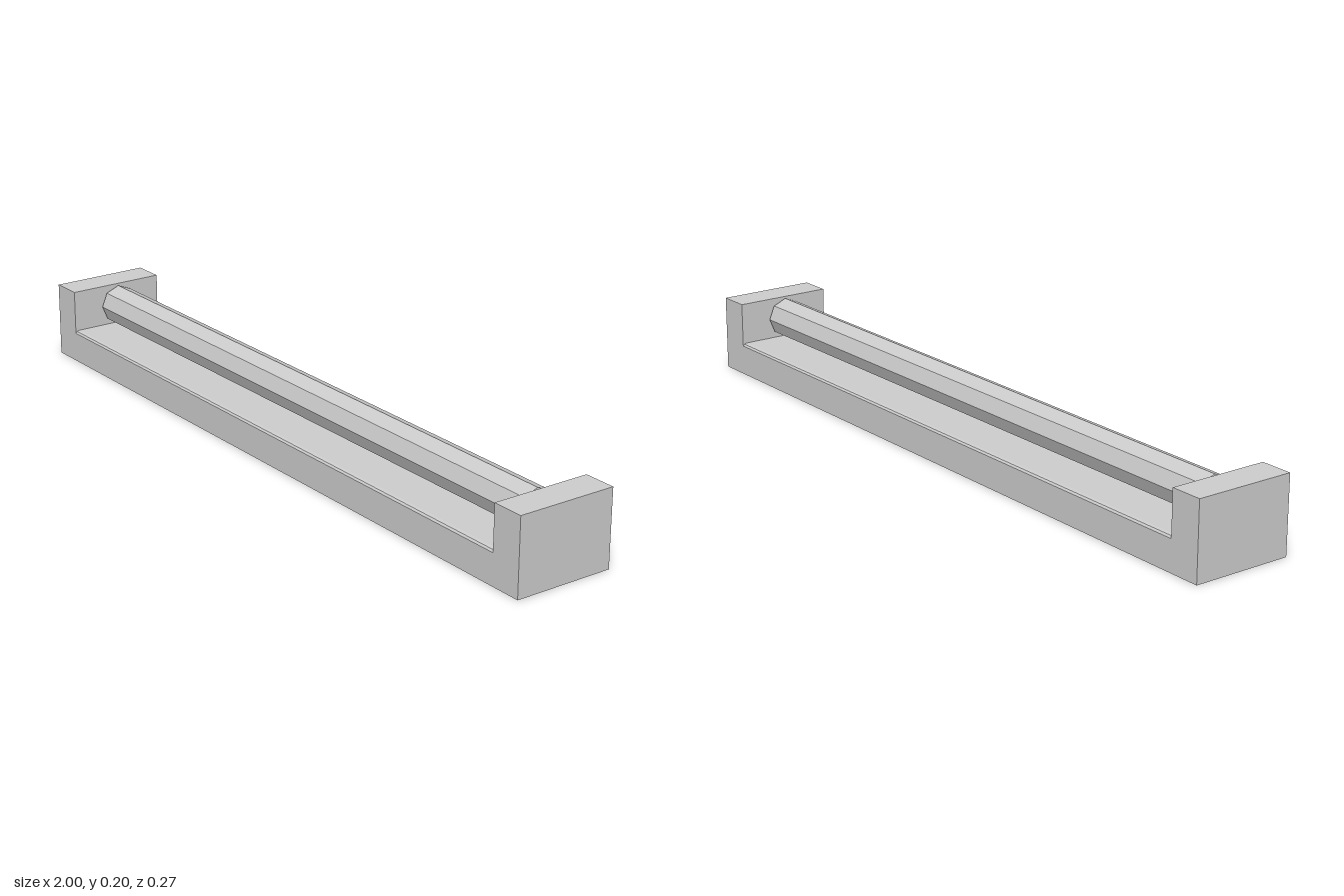
import * as THREE from 'three';

export function createModel() {
  const group = new THREE.Group();
  const grey = new THREE.MeshStandardMaterial({ color: 0xcccccc, flatShading: true });
  const add = (name, geometry, x = 0, y = 0, z = 0) => {
    const mesh = new THREE.Mesh(geometry, grey);
    mesh.name = name;
    mesh.position.set(x, y, z);
    group.add(mesh);
    return mesh;
  };

  const halfDepth = 0.137, baseTop = 0.09, height = 0.205;
  const capInner = 0.912, wall = 0.006, bevel = 0.012;

  // Hollow housing, open underneath, with softened top edges
  const side = [
    [halfDepth - wall, 0], [halfDepth, 0],
    [halfDepth, baseTop - 0.007], [halfDepth - 0.004, baseTop - 0.002],
    [halfDepth - bevel, baseTop],
  ];
  const outline = [
    ...side,
    ...side.slice().reverse().map(([z, y]) => [-z, y]),
    [-halfDepth + wall, baseTop - wall], [halfDepth - wall, baseTop - wall],
  ].map(([z, y]) => new THREE.Vector2(z, y));
  const channel = new THREE.ExtrudeGeometry(new THREE.Shape(outline), {
    depth: 2 * capInner, bevelEnabled: false,
  });
  channel.translate(0, 0, -capInner).rotateY(Math.PI / 2);
  add('housing', channel);

  // Octagonal tube lying between the end blocks
  const tubeY = 0.149, tubeEnd = 0.9;
  const tube = new THREE.CylinderGeometry(0.054, 0.054, 2 * tubeEnd, 8).rotateZ(Math.PI / 2);
  add('tube', tube, 0, tubeY);

  // End blocks and the contacts that hold the tube
  const capWidth = 1 - capInner;
  for (const [label, s] of [['left', 1], ['right', -1]]) {
    add(label + 'EndBlock', new THREE.BoxGeometry(capWidth, height, 2 * halfDepth),
      s * (capInner + capWidth / 2), height / 2);
    const pin = new THREE.CylinderGeometry(0.018, 0.018, 0.024, 8).rotateZ(Math.PI / 2);
    add(label + 'Contact', pin, s * 0.906, tubeY);
  }
  return group;
}
